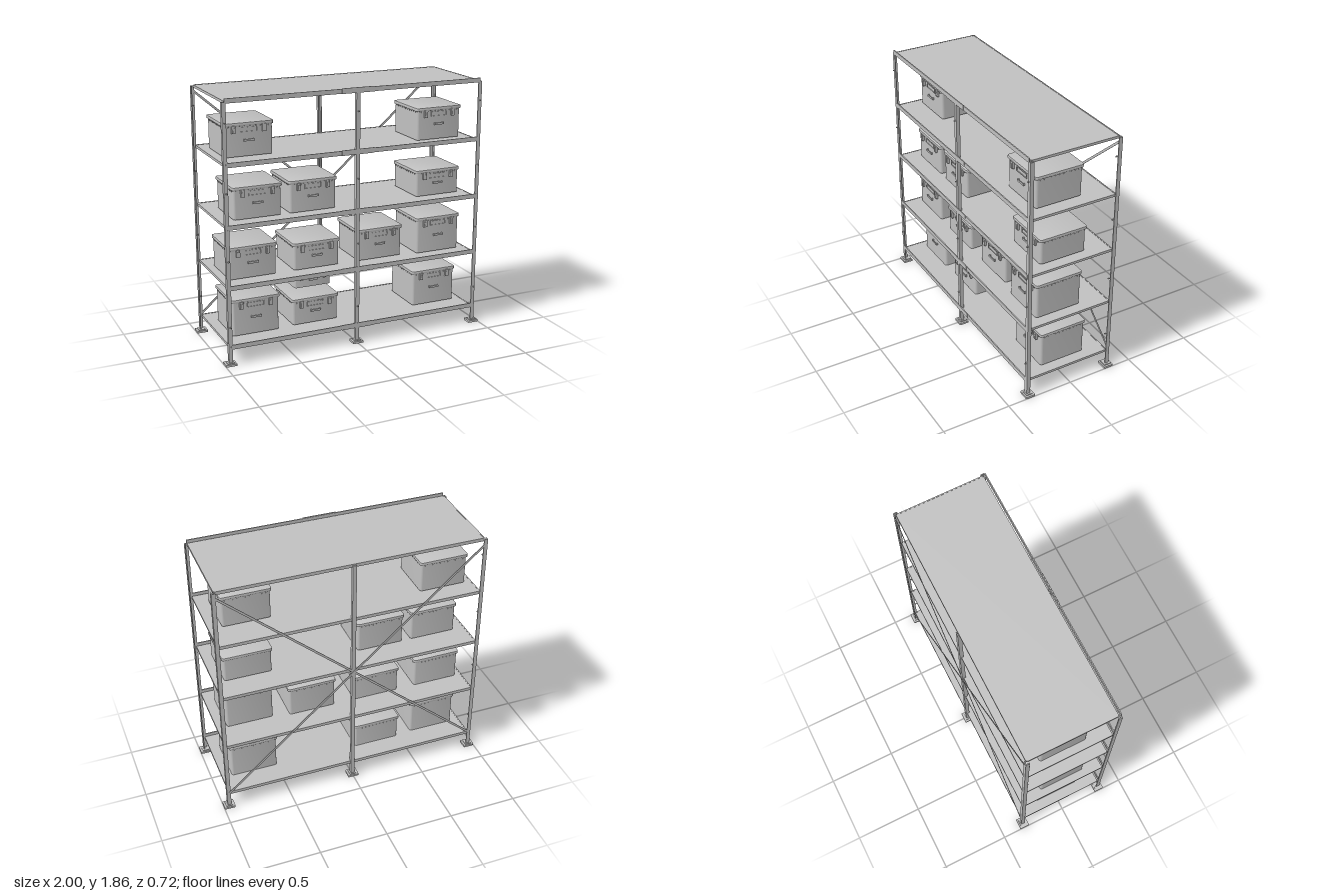
import * as THREE from 'three';
import { toCreasedNormals } from 'three/addons/utils/BufferGeometryUtils.js';

const steel = new THREE.MeshStandardMaterial({ color: 0xc0c0c0 });
steel.name = 'light grey';

function add(parent, name, geometry, x = 0, y = 0, z = 0) {
  const mesh = new THREE.Mesh(geometry, steel);
  mesh.name = name;
  mesh.position.set(x, y, z);
  parent.add(mesh);
  return mesh;
}

// Box given by its centre and size
const block = (parent, name, w, h, d, x, y, z) =>
  add(parent, name, new THREE.BoxGeometry(w, h, d), x, y, z);

// Rounded rectangle in the ground plane, standing on y = 0
function roundedSlab(w, h, d, r, bevel = 0) {
  const a = w / 2 - bevel, b = d / 2 - bevel;
  const s = new THREE.Shape();
  s.moveTo(-a + r, -b);
  s.lineTo(a - r, -b);
  s.absarc(a - r, -b + r, r, -Math.PI / 2, 0);
  s.absarc(a - r, b - r, r, 0, Math.PI / 2);
  s.absarc(-a + r, b - r, r, Math.PI / 2, Math.PI);
  s.absarc(-a + r, -b + r, r, Math.PI, Math.PI * 1.5);
  const g = new THREE.ExtrudeGeometry(s, {
    depth: h - 2 * bevel, curveSegments: 4, bevelEnabled: bevel > 0,
    bevelSize: bevel, bevelThickness: bevel, bevelSegments: 2,
  });
  g.translate(0, 0, bevel);
  g.rotateX(-Math.PI / 2);
  return toCreasedNormals(g, 0.7);
}

// Upright made from a folded section: points are (x, z) in the plan
function upright(points, height) {
  const s = new THREE.Shape(points.map(([x, z]) => new THREE.Vector2(x, -z)));
  const g = new THREE.ExtrudeGeometry(s, { depth: height, bevelEnabled: false });
  g.rotateX(-Math.PI / 2);
  return g;
}

// Storage box with lid, rim ribs, clasps, label frame and handle
function storageBox(x, y, h, front, sx = 1, sz = 1) {
  const box = new THREE.Group();
  box.name = 'storageBox';
  const w = 0.345 * sx, d = 0.35 * sz;
  add(box, 'boxBody', roundedSlab(w, h - 0.02, d, 0.018));
  add(box, 'boxLid', roundedSlab(w + 0.017, 0.024, d + 0.016, 0.014, 0.005), 0, h - 0.024, 0);
  const n = 11;
  for (let i = 0; i < n; i++) {
    const t = (i + 0.5) / n - 0.5;
    for (const s of [-1, 1]) {
      block(box, 'rimRib', 0.006, 0.01, 0.006, t * (w - 0.03), h - 0.028, s * (d / 2 + 0.002));
      block(box, 'rimRib', 0.006, 0.01, 0.006, s * (w / 2 + 0.002), h - 0.028, t * (d - 0.03));
    }
  }
  const f = d / 2;
  const k = sx < 1 ? 0.75 : 1;
  for (const s of [-1, 1]) {
    block(box, 'clasp', 0.027 * sx, 0.052 * k, 0.016, s * 0.109 * sx, h - 0.018 - 0.026 * k, f + 0.007);
    block(box, 'claspTab', 0.016 * sx, 0.03 * k, 0.005, s * 0.109 * sx, h - 0.02 - 0.026 * k, f + 0.016);
    block(box, 'labelSide', 0.005, 0.035 * k, 0.005, s * 0.061 * sx, h - 0.05 * k, f + 0.002);
    block(box, 'labelEdge', 0.127 * sx, 0.005, 0.005, 0, h - 0.05 * k + s * 0.015 * k, f + 0.002);
    block(box, 'handleEnd', 0.008, 0.015, 0.012, s * 0.034 * sx, h * 0.48, f + 0.005);
  }
  block(box, 'handle', 0.076 * sx, 0.014, 0.006, 0, h * 0.48, f + 0.011);
  box.position.set(x, y, front - (d + 0.016) / 2);
  return box;
}

export function createModel() {
  const rack = new THREE.Group();
  rack.name = 'shelvingRack';
  const level = i => 0.124 + 0.427 * i;

  // Shelves, front lips with a splice over the middle post, rear and end rails
  for (let i = 0; i < 5; i++) {
    const y = level(i);
    block(rack, 'shelf', 1.9, 0.013, 0.65, 0, y, 0);
    block(rack, 'frontBeam', 1.91, 0.032, 0.008, 0, y + 0.009, 0.338);
    block(rack, 'beamSplice', 0.245, 0.037, 0.006, 0, y + 0.01, 0.341);
    block(rack, 'rearBeam', 1.9, 0.024, 0.008, 0, y - 0.003, -0.326);
    for (const s of [-1, 1]) block(rack, 'endRail', 0.008, 0.018, 0.64, s * 0.951, y - 0.001, 0);
  }

  // Posts: angles at the corners, channels in the middle, with feet and bolts
  const t = 0.007, a = 0.028;
  const angle = [[0, 0], [a, 0], [a, t], [t, t], [t, a], [0, a]];
  const c = a / 2;
  const channel = [[-c, 0], [c, 0], [c, a], [c - t, a], [c - t, t], [-c + t, t], [-c + t, a], [-c, a]];
  for (const sz of [-1, 1]) {
    for (const sx of [-1, 0, 1]) {
      const section = (sx ? angle : channel).map(([x, z]) =>
        [sx ? sx * (0.972 - x) : x, sz * (0.341 - z)]);
      add(rack, 'post', upright(section, 1.823), 0, 0.01, 0);
      const x = sx * 0.96, z = sz * 0.325;
      add(rack, 'footPlate', roundedSlab(0.08, 0.015, 0.072, 0.004), x, 0, z);
      block(rack, 'footCollar', 0.05, 0.008, 0.05, x, 0.017, z);
      for (let i = 0; i < 4; i++) {
        const bolt = new THREE.CylinderGeometry(0.005, 0.005, 0.012, 8);
        bolt.rotateX(Math.PI / 2);
        add(rack, 'bolt', bolt, sx * 0.958, 0.28 + 0.472 * i, sz > 0 ? 0.346 : -0.309);
      }
    }
  }

  // Crossed rear braces
  const dx = 1.9, dy = 1.66;
  for (const s of [-1, 1]) {
    const brace = block(rack, 'brace', Math.hypot(dx, dy), 0.016, 0.004, 0, 0.975 - 0.01, -0.34 + s * 0.003);
    brace.rotation.z = s * Math.atan2(dy, dx);
  }

  // Storage boxes: x, shelf, height, front z
  const boxes = [
    [-0.71, 0, 0.267, 0.183], [-0.25, 0, 0.193, 0.168], [0.71, 0, 0.267, 0.183],
    [-0.73, 1, 0.23, 0.2], [-0.25, 1, 0.197, 0.2], [0.247, 1, 0.23, 0.2], [0.71, 1, 0.267, 0.228],
    [-0.69, 2, 0.228, 0.21], [-0.28, 2, 0.228, 0.21], [0.71, 2, 0.193, 0.205],
    [-0.727, 3, 0.232, 0.165], [0.69, 3, 0.232, 0.237],
  ];
  for (const [x, i, h, front] of boxes) rack.add(storageBox(x, level(i) + 0.014, h, front));
  rack.add(storageBox(-0.26, 0.407, 0.113, 0.148, 0.805, 0.71));

  return rack;
}
